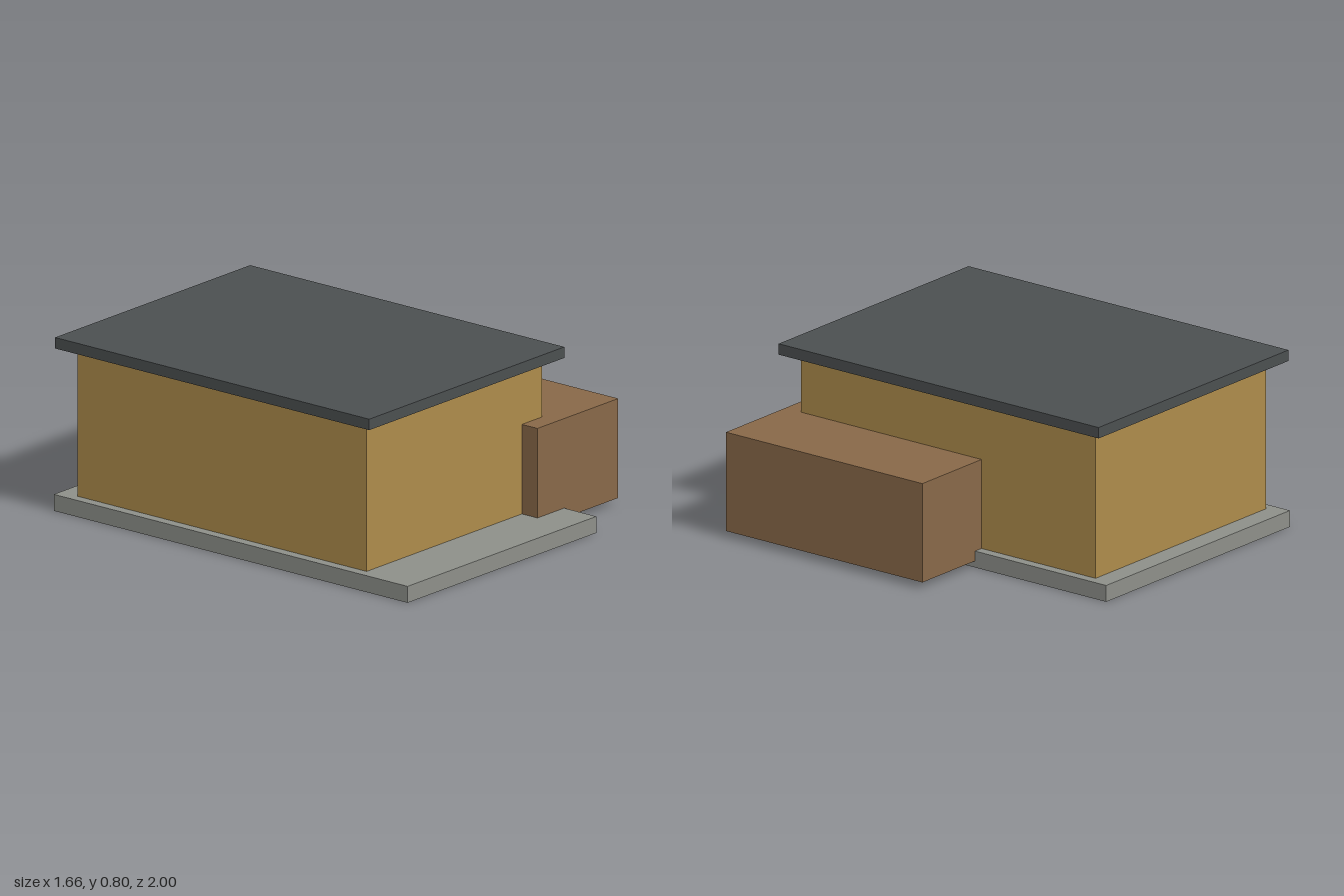
import * as THREE from 'three';

// Box given by its extents along each axis
function block(name, color, [x0, x1], [y0, y1], [z0, z1]) {
  const mesh = new THREE.Mesh(
    new THREE.BoxGeometry(x1 - x0, y1 - y0, z1 - z0),
    new THREE.MeshStandardMaterial({ color })
  );
  mesh.position.set((x0 + x1) / 2, (y0 + y1) / 2, (z0 + z1) / 2);
  mesh.name = name;
  return mesh;
}

export function createModel() {
  const house = new THREE.Group();
  house.name = 'house';
  house.add(
    // Foundation, deeper at the front to form a terrace
    block('foundationSlab', 0x8d8f89, [-0.81, 0.463], [0, 0.075], [-1, 1]),
    // Main body
    block('walls', 0xad8b4b, [-0.764, 0.418], [0.075, 0.75], [-0.905, 0.73]),
    // Flat overhanging roof
    block('roof', 0x4b4f50, [-0.83, 0.486], [0.75, 0.8], [-0.976, 0.8]),
    // Low annex overlapping the left wall
    block('sideAnnex', 0x886848, [0.283, 0.828], [0.03, 0.483], [-0.272, 0.818])
  );
  return house;
}
